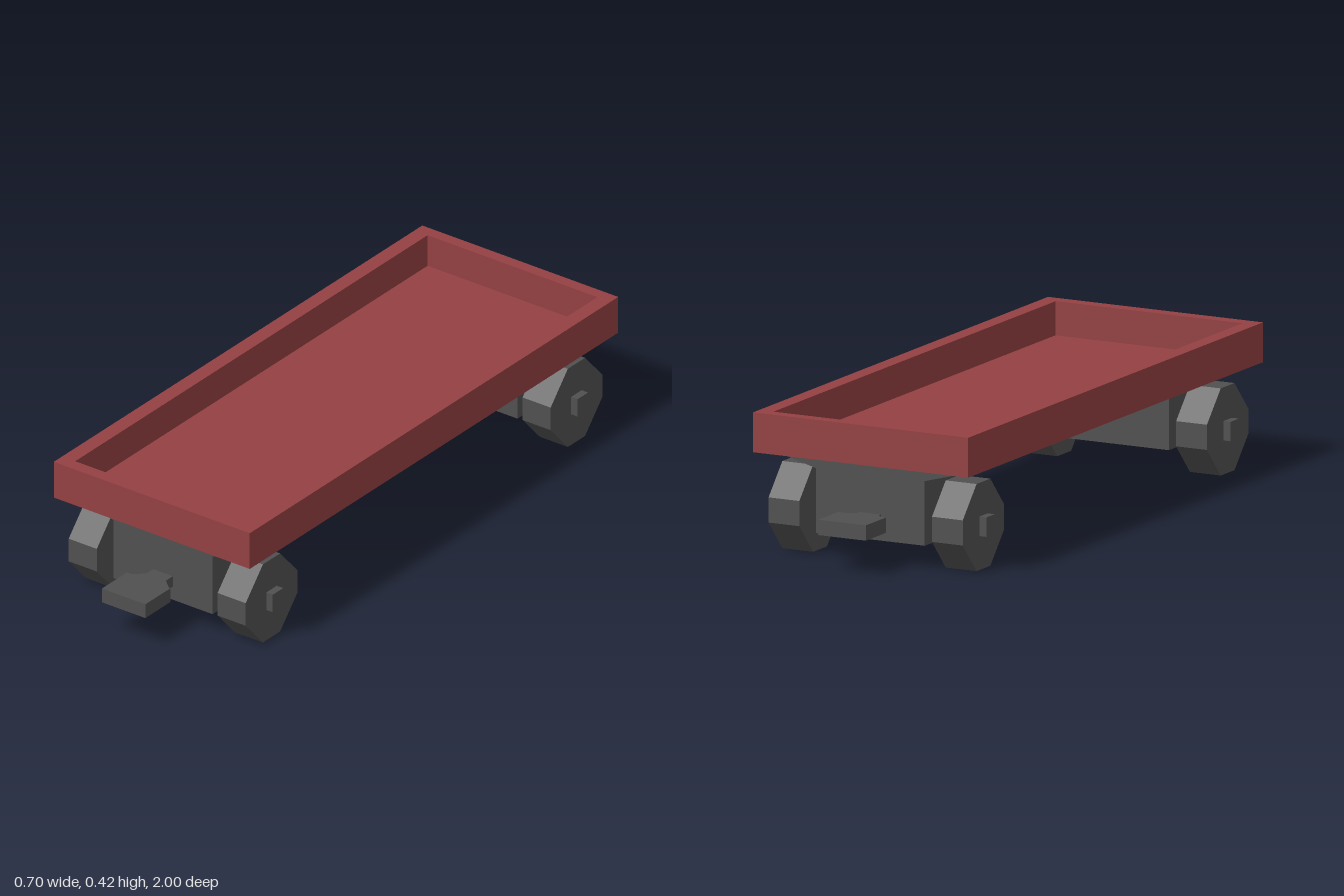
import * as THREE from 'three';

const red = new THREE.MeshStandardMaterial({ color: 0x934042 });
red.name = 'trayRed';
const grey = new THREE.MeshStandardMaterial({ color: 0x505050 });
grey.name = 'chassisGrey';

const mesh = (name, geo, mat) => {
  const m = new THREE.Mesh(geo, mat);
  m.name = name;
  return m;
};

// box from minimum and maximum corners
const box = (name, mat, x0, x1, y0, y1, z0, z1) => {
  const m = mesh(name, new THREE.BoxGeometry(x1 - x0, y1 - y0, z1 - z0), mat);
  m.position.set((x0 + x1) / 2, (y0 + y1) / 2, (z0 + z1) / 2);
  return m;
};

const points = (list) => list.map(([x, y]) => new THREE.Vector2(x, y));
const rect = (x, y0, y1) => points([[-x, y0], [x, y0], [x, y1], [-x, y1]]);
const extrude = (shape, depth) =>
  new THREE.ExtrudeGeometry(shape, { depth, bevelEnabled: false });

// open tray: rim with a rectangular hole, plus a sunken floor
function makeTray() {
  const g = new THREE.Group();
  g.name = 'tray';
  const shape = new THREE.Shape(rect(0.352, -0.866, 0.89));
  shape.holes.push(new THREE.Path(rect(0.305, -0.826, 0.853)));
  const rim = mesh('trayRim', extrude(shape, 0.117).rotateX(-Math.PI / 2), red);
  rim.position.y = 0.3;
  g.add(rim, box('trayFloor', red, -0.305, 0.305, 0.3, 0.317, -0.853, 0.826));
  return g;
}

// octagonal wheel with short flats, axis along x
function makeWheel(side) {
  const r = 0.128, w = 0.123, f = 0.037, d = 0.041;
  const shape = new THREE.Shape(points([
    [-d, -r], [d, -r], [w, -f], [w, f], [d, r], [-d, r], [-w, f], [-w, -f],
  ]));
  const geo = extrude(shape, 0.101).translate(0, 0, -0.0505).rotateY(Math.PI / 2);
  const wheel = mesh(side > 0 ? 'leftWheel' : 'rightWheel', geo, grey);
  wheel.position.set(side * 0.2675, 0.128, 0);
  return wheel;
}

// bolster block with flared top, axle and two wheels
function makeTruck(name, z) {
  const g = new THREE.Group();
  g.name = name;
  const shape = new THREE.Shape(points([
    [-0.178, 0.07], [0.178, 0.07], [0.178, 0.26], [0.325, 0.3], [-0.325, 0.3], [-0.178, 0.26],
  ]));
  g.add(mesh('bolster', extrude(shape, 0.19).translate(0, 0, -0.095), grey));
  g.add(box('axle', grey, -0.341, 0.341, 0.1, 0.157, -0.025, 0.025));
  g.add(makeWheel(1), makeWheel(-1));
  g.position.z = z;
  return g;
}

// flat coupler head on a thinner tapered neck
function makeCoupler(name) {
  const g = new THREE.Group();
  g.name = name;
  g.add(box('couplerHead', grey, -0.078, 0.078, 0.107, 0.152, 0.88, 1));
  const neck = new THREE.Shape(points([
    [-0.035, -0.78], [-0.035, -0.845], [-0.075, -0.88],
    [0.075, -0.88], [0.035, -0.845], [0.035, -0.78],
  ]));
  const m = mesh('couplerNeck', extrude(neck, 0.034).rotateX(-Math.PI / 2), grey);
  m.position.y = 0.113;
  g.add(m);
  return g;
}

export function createModel() {
  const model = new THREE.Group();
  model.name = 'flatWagon';
  const backCoupler = makeCoupler('backCoupler');
  backCoupler.rotation.y = Math.PI;
  model.add(
    makeTray(),
    makeTruck('frontTruck', 0.717),
    makeTruck('backTruck', -0.736),
    makeCoupler('frontCoupler'),
    backCoupler,
  );
  return model;
}
